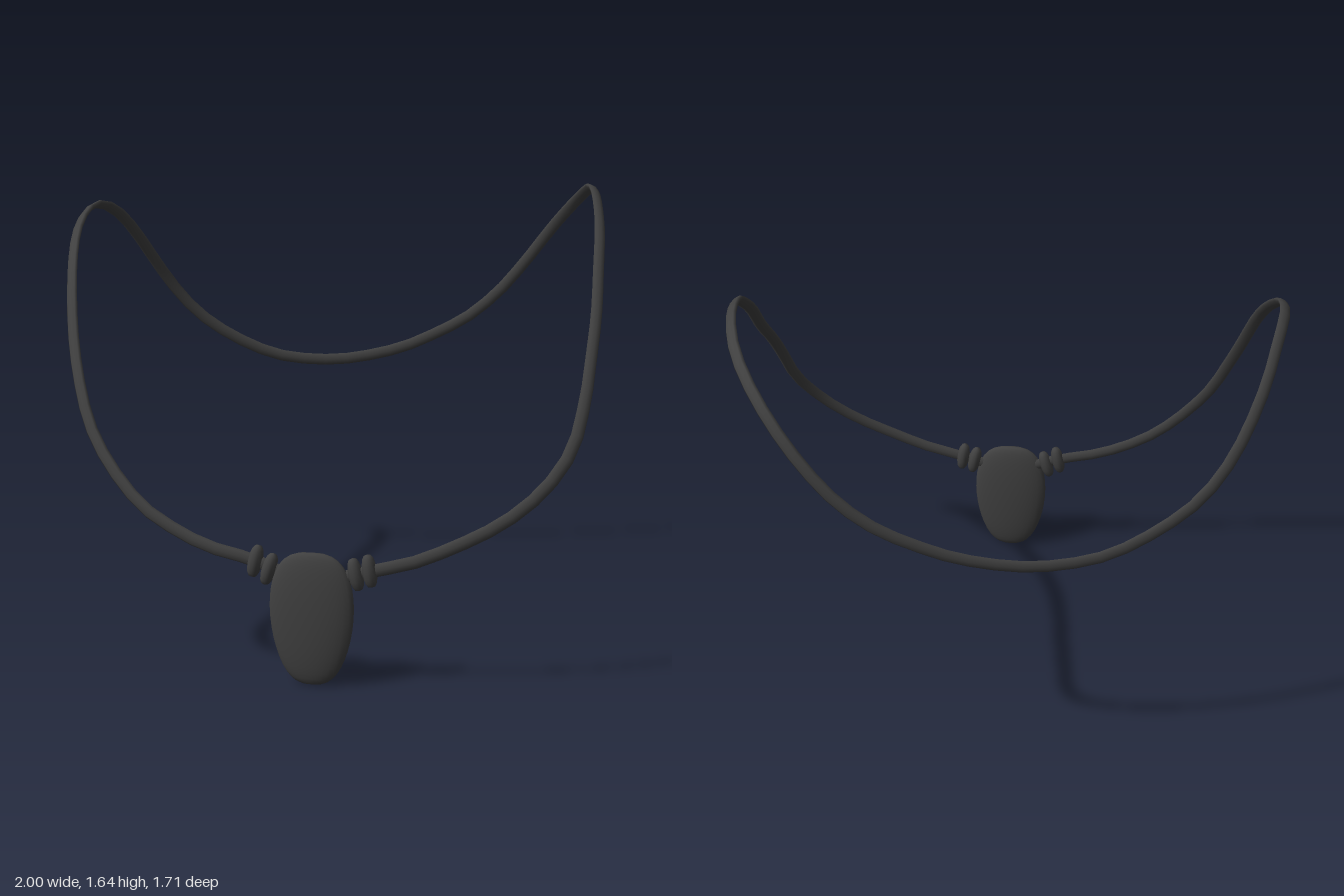
import * as THREE from 'three';

const dark = new THREE.MeshStandardMaterial({ color: 0x404040 });

// Centre line of the closed cord, starting behind the pendant and running round
const PATH = [
  [0, .37, .8], [-.1, .39, .785], [-.2, .43, .768], [-.37, .47, .745], [-.5, .525, .72],
  [-.63, .61, .69], [-.8, .82, .6], [-.89, 1.06, .47], [-.95, 1.34, .25], [-.98, 1.5, 0],
  [-.97, 1.56, -.2], [-.945, 1.555, -.32], [-.91, 1.51, -.43], [-.87, 1.43, -.53],
  [-.81, 1.31, -.61], [-.74, 1.19, -.665], [-.64, 1.07, -.705], [-.5, .97, -.735],
  [-.32, .89, -.77], [-.13, .867, -.797], [0, .875, -.812], [.2, .92, -.828],
  [.35, .985, -.84], [.47, 1.05, -.846], [.6, 1.16, -.846], [.72, 1.305, -.825],
  [.81, 1.43, -.78], [.885, 1.53, -.69], [.93, 1.59, -.59], [.955, 1.625, -.47],
  [.968, 1.622, -.33], [.975, 1.58, -.15], [.978, 1.51, 0], [.97, 1.4, .18],
  [.96, 1.25, .36], [.94, 1.12, .52], [.92, 1, .64], [.88, .85, .735],
  [.82, .755, .785], [.72, .655, .82], [.6, .575, .838], [.5, .525, .843],
  [.35, .46, .84], [.2, .42, .825], [.1, .39, .812],
].map(p => new THREE.Vector3(...p));

// Flattened cord swept along the path, leaning inward at the sides
function cordGeometry(steps, sides, halfWidth, halfThick) {
  const curve = new THREE.CatmullRomCurve3(PATH, true);
  const pos = [], index = [];
  for (let i = 0; i < steps; i++) {
    const p = curve.getPointAt(i / steps), t = curve.getTangentAt(i / steps);
    const wide = new THREE.Vector3(-1.4 * p.x * Math.abs(p.x), 1, 0);
    wide.addScaledVector(t, -wide.dot(t)).normalize();
    const thin = new THREE.Vector3().crossVectors(t, wide);
    for (let j = 0; j < sides; j++) {
      const a = j / sides * Math.PI * 2;
      const v = p.clone().addScaledVector(wide, Math.cos(a) * halfWidth)
        .addScaledVector(thin, Math.sin(a) * halfThick);
      pos.push(v.x, v.y, v.z);
      const i2 = (i + 1) % steps, j2 = (j + 1) % sides;
      const A = i * sides + j, B = i * sides + j2, C = i2 * sides + j, D = i2 * sides + j2;
      index.push(A, B, C, B, D, C);
    }
  }
  const g = new THREE.BufferGeometry();
  g.setAttribute('position', new THREE.Float32BufferAttribute(pos, 3));
  g.setIndex(index);
  g.computeVertexNormals();
  return g;
}

// Sphere with fuller shoulders along y, and an optional taper to the bottom
function pebbleGeometry(power, taper, segs, rings) {
  const g = new THREE.SphereGeometry(1, segs, rings);
  const p = g.attributes.position;
  for (let i = 0; i < p.count; i++) {
    const y = p.getY(i), r = Math.hypot(p.getX(i), p.getZ(i));
    const k = r > 1e-4 ? Math.pow(r, power - 1) : 1;
    p.setXYZ(i, p.getX(i) * k * (1 + taper * y), y, p.getZ(i) * k);
  }
  g.computeVertexNormals();
  return g;
}

export function createModel() {
  const group = new THREE.Group();
  const add = (name, geometry) => {
    const m = new THREE.Mesh(geometry, dark);
    m.name = name;
    group.add(m);
    return m;
  };

  add('cord', cordGeometry(84, 8, .023, .011));

  // Flat egg-shaped pendant
  const pendant = add('pendant', pebbleGeometry(.7, .13, 28, 20));
  pendant.scale.set(.148, .2375, .041);
  pendant.position.set(-.007, .2375, .803);
  pendant.rotation.y = -.12;

  // Two flat beads on each side of the pendant
  const bead = pebbleGeometry(.7, 0, 12, 8);
  for (const [name, x, y, z, tilt] of [
    ['rightOuterBead', -.207, .43, .767, -.22], ['rightInnerBead', -.158, .405, .776, -.3],
    ['leftInnerBead', .147, .405, .818, .22], ['leftOuterBead', .195, .42, .822, .15],
  ]) {
    const b = add(name, bead);
    b.scale.set(.026, .059, .03);
    b.position.set(x, y, z);
    b.rotation.set(0, -.12, tilt);
  }
  return group;
}
